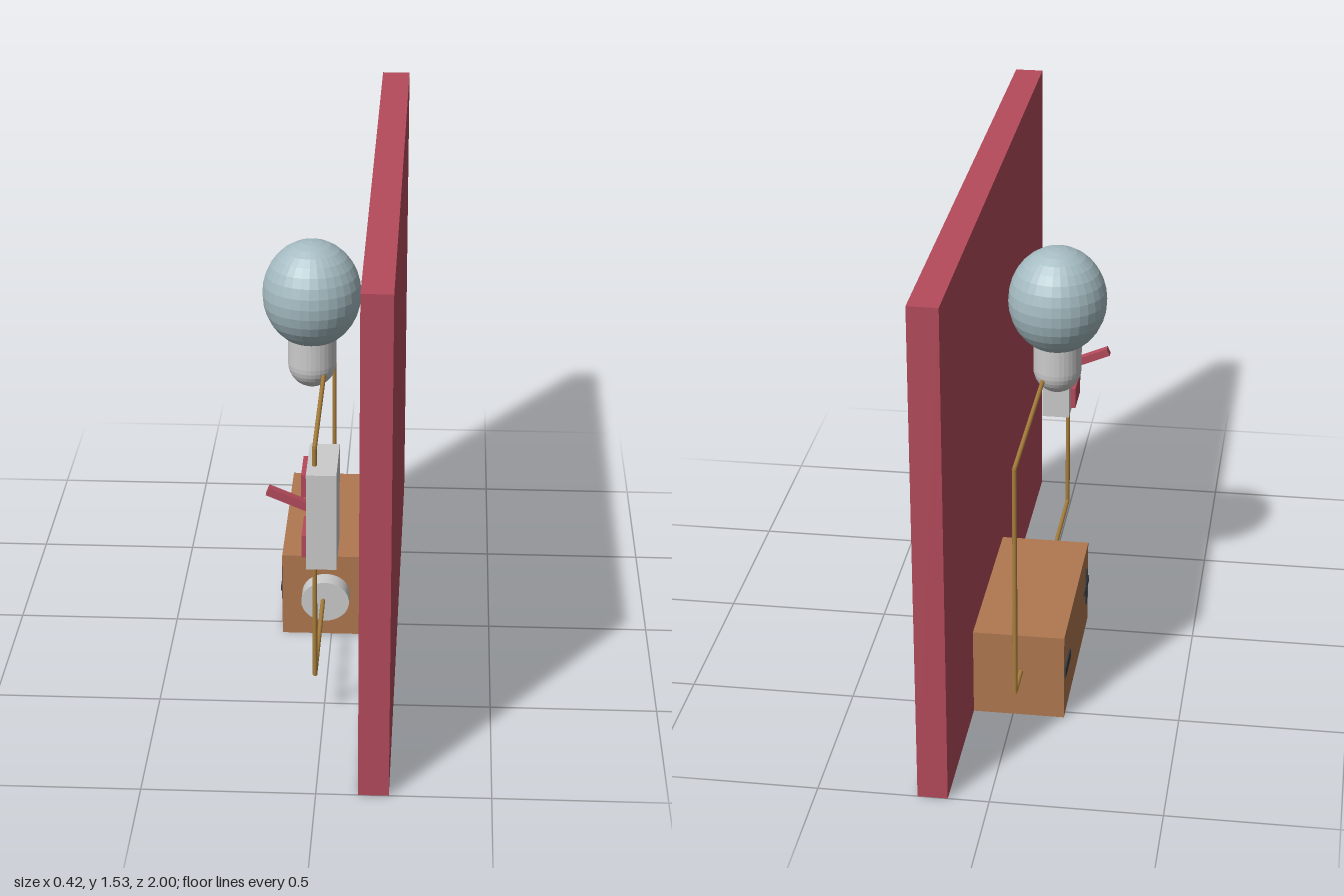
import * as THREE from 'three';

const mat = (color, flatShading = false) => new THREE.MeshStandardMaterial({ color, flatShading });

export function createModel() {
  const model = new THREE.Group();
  model.name = 'circuitBoardDisplay';

  const red = mat(0xb54b5c), tan = mat(0xb07850), grey = mat(0xcccccc);
  const dark = mat(0x353a3f), brass = mat(0xa87e3c);
  const glass = mat(0xa5bcc2, true), greyFlat = mat(0xcccccc, true);

  const add = (name, geometry, material, parent = model) => {
    const mesh = new THREE.Mesh(geometry, material);
    mesh.name = name;
    parent.add(mesh);
    return mesh;
  };
  // Box given by its lower and upper limits on each axis
  const box = (name, material, [x0, x1], [y0, y1], [z0, z1], parent) => {
    const mesh = add(name, new THREE.BoxGeometry(x1 - x0, y1 - y0, z1 - z0), material, parent);
    mesh.position.set((x0 + x1) / 2, (y0 + y1) / 2, (z0 + z1) / 2);
    return mesh;
  };
  const group = (name) => {
    const g = new THREE.Group();
    g.name = name;
    model.add(g);
    return g;
  };

  // Upright backing board
  box('board', red, [0.12, 0.208], [0, 1.53], [-1, 1]);

  // Battery with an oval terminal and raised polarity marks
  const battery = group('battery');
  box('batteryBody', tan, [-0.155, 0.12], [0, 0.275], [-0.53, 0.07], battery);
  const terminal = add('terminal', new THREE.CylinderGeometry(1, 1, 0.06, 32), grey, battery);
  terminal.rotation.x = Math.PI / 2;
  terminal.scale.set(0.075, 1, 0.067);
  terminal.position.set(-0.017, 0.146, 0.1);
  box('positiveMarkUpright', dark, [-0.16, -0.154], [0.09, 0.215], [-0.003, 0.013], battery);
  box('positiveMarkBar', dark, [-0.16, -0.154], [0.145, 0.161], [-0.05, 0.062], battery);
  box('negativeMark', dark, [-0.16, -0.154], [0.137, 0.17], [-0.525, -0.41], battery);

  // Light bulb: slightly tall globe over a round-ended socket
  const bulb = group('bulb');
  bulb.position.set(-0.062, 0, 0.008);
  const globe = add('globe', new THREE.SphereGeometry(0.15, 32, 16), glass, bulb);
  globe.scale.y = 1.11;
  globe.position.y = 1.138;
  const profile = [];
  for (let i = 0; i <= 8; i++) {
    const a = (i / 8) * Math.PI / 2;
    profile.push(new THREE.Vector2(0.074 * Math.sin(a), 0.912 - 0.076 * Math.cos(a)));
  }
  profile.push(new THREE.Vector2(0.074, 1.02), new THREE.Vector2(0, 1.02));
  add('socket', new THREE.LatheGeometry(profile, 32), greyFlat, bulb);

  // Wall switch with two plain raised label plates and a tilted lever
  const lightSwitch = group('switch');
  box('switchBox', grey, [-0.045, 0.042], [0.535, 0.835], [0.435, 0.65], lightSwitch);
  box('upperPlate', red, [-0.061, -0.044], [0.745, 0.815], [0.477, 0.607], lightSwitch);
  box('lowerPlate', red, [-0.061, -0.044], [0.55, 0.62], [0.477, 0.607], lightSwitch);
  const lever = add('lever', new THREE.BoxGeometry(0.15, 0.025, 0.026), red, lightSwitch);
  lever.position.set(-0.093, 0.705, 0.541);
  lever.rotation.z = -0.4;

  // Wire loop: battery back, over through the socket, down the switch, to the terminal
  const wire = group('wire');
  const r = 0.007;
  const route = [
    [0.15, -0.52], [0.15, -0.643], [0.888, -0.643],
    [0.888, 0.582], [0.15, 0.582], [0.15, 0.12],
  ].map(([y, z]) => new THREE.Vector3(-0.024, y, z));
  const up = new THREE.Vector3(0, 1, 0);
  for (let i = 1; i < route.length; i++) {
    const run = route[i].clone().sub(route[i - 1]);
    const seg = add('wireRun', new THREE.CylinderGeometry(r, r, run.length() + r, 12), brass, wire);
    seg.position.copy(route[i]).add(route[i - 1]).multiplyScalar(0.5);
    seg.quaternion.setFromUnitVectors(up, run.normalize());
  }

  return model;
}
